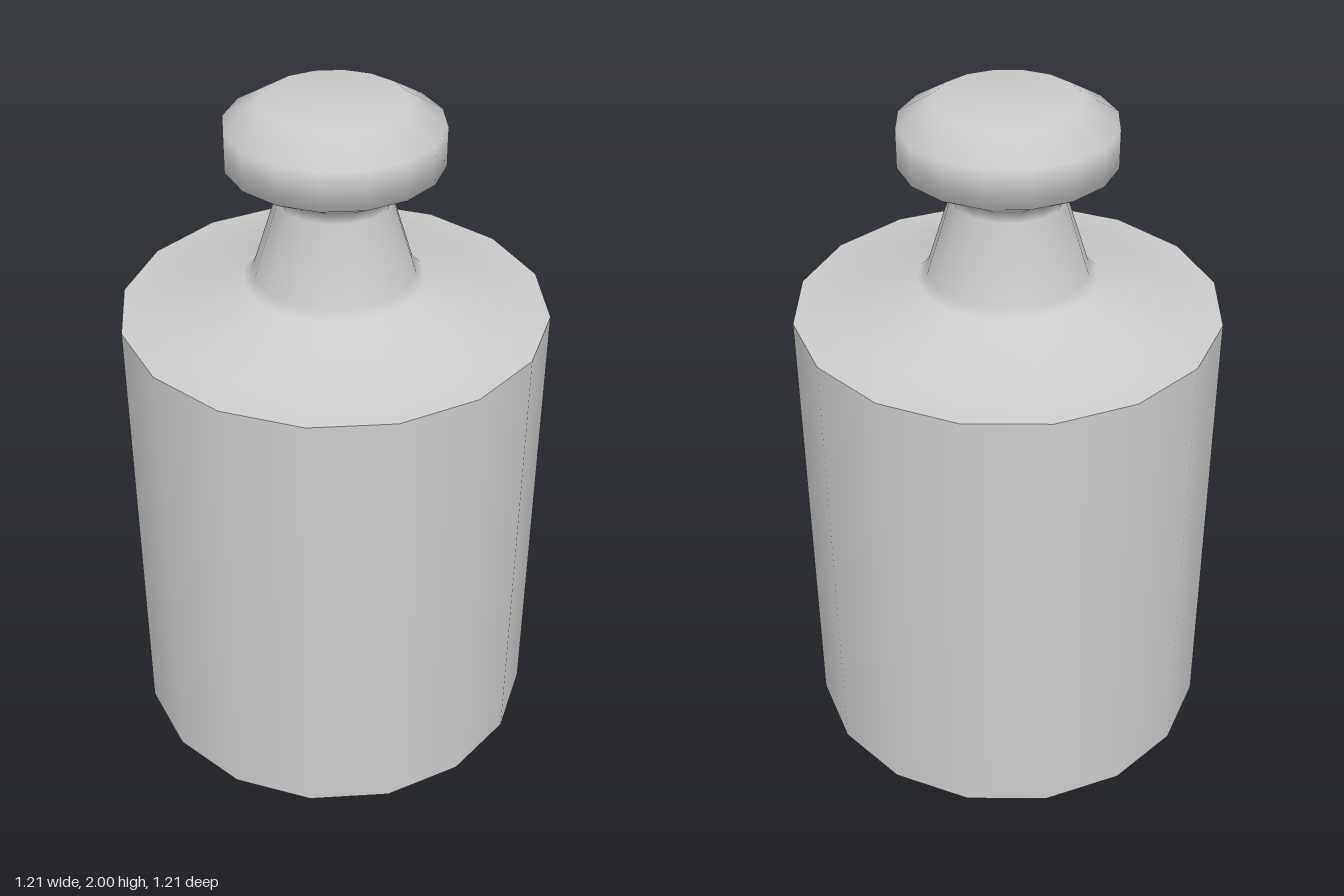
import * as THREE from 'three';

const SIDES = 16;
const RADIUS = 0.607;
const RIM_Y = 1.383;

export function createModel() {
  const group = new THREE.Group();
  const material = new THREE.MeshStandardMaterial({ color: 0xcccccc });

  const add = (name, geometry) => {
    const mesh = new THREE.Mesh(geometry, material);
    mesh.name = name;
    group.add(mesh);
    return mesh;
  };

  // Smooth turned surface; separate lathes keep the rims between them sharp
  const turned = (profile) =>
    new THREE.LatheGeometry(profile.map(([r, y]) => new THREE.Vector2(r, y)), SIDES);

  // Flat underside
  add('base', new THREE.CircleGeometry(RADIUS, SIDES)).rotation.x = Math.PI / 2;

  // Straight cylindrical wall
  add('body', turned([[RADIUS, 0], [RADIUS, RIM_Y]]));

  // Sloping shoulder, tapered neck and rounded knob in one smooth sweep
  add('shoulderNeckAndKnob', turned([
    [RADIUS, RIM_Y],
    [0.48, 1.398],
    [0.255, 1.478],
    [0.228, 1.5],
    [0.16, 1.72],
    [0.18, 1.762],
    [0.3, 1.83],
    [0.3, 1.94],
    [0.2, 2],
    [0, 2],
  ]));

  return group;
}
